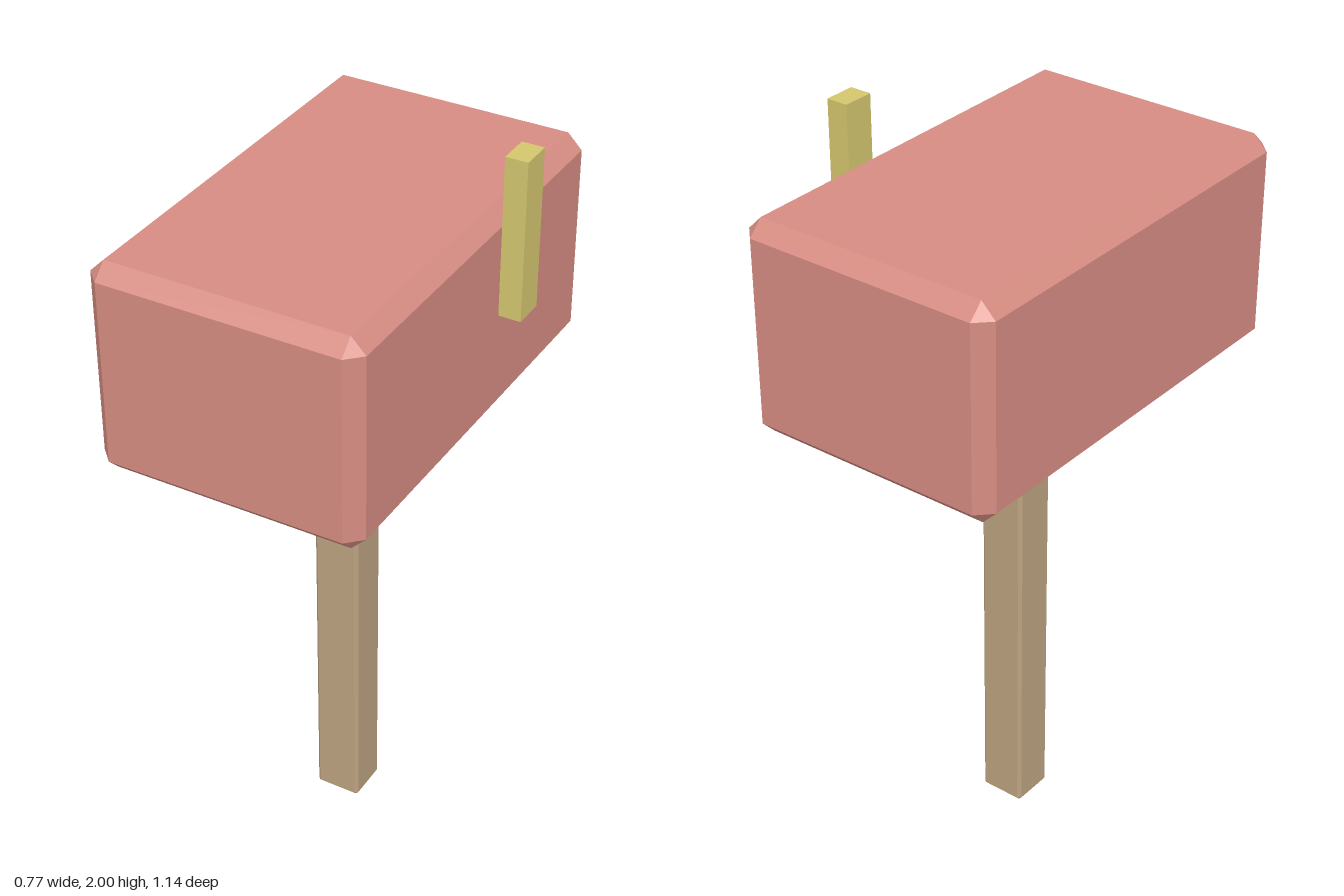
import * as THREE from 'three';
import { ConvexGeometry } from 'three/addons/geometries/ConvexGeometry.js';

// Box with flat bevelled edges and triangular corners, given by its min and max corners
function chamferBox(min, max, c) {
  const points = [];
  for (let i = 0; i < 8; i++) {
    const signs = [i & 1, (i >> 1) & 1, (i >> 2) & 1];
    for (let full = 0; full < 3; full++) {
      // one axis stays at the full extent, the other two are pulled in
      const p = signs.map((s, a) => {
        const inset = a === full ? 0 : c;
        return s ? max[a] - inset : min[a] + inset;
      });
      points.push(new THREE.Vector3(...p));
    }
  }
  return new ConvexGeometry(points);
}

function paint(name, hex) {
  const material = new THREE.MeshStandardMaterial({ color: hex });
  material.name = name;
  return material;
}

export function createModel() {
  const model = new THREE.Group();
  model.name = 'mallet';
  const add = (name, geometry, material) => {
    const mesh = new THREE.Mesh(geometry, material);
    mesh.name = name;
    model.add(mesh);
    return mesh;
  };

  // Heavy bevelled head
  add('head', chamferBox([-0.386, 1.29, -0.572], [0.327, 1.858, 0.571], 0.039), paint('dusty red', 0xd68c82));

  // Square handle, slightly bevelled, running up into the head
  add('handle', chamferBox([-0.093, 0, -0.061], [0.033, 1.34, 0.061], 0.008), paint('wood tan', 0xbca280));

  // Upright peg on the side of the head
  const peg = add('sidePeg', new THREE.BoxGeometry(0.059, 0.423, 0.085), paint('brass yellow', 0xd4c66e));
  peg.position.set(0.3565, 1.7885, -0.145);

  return model;
}
